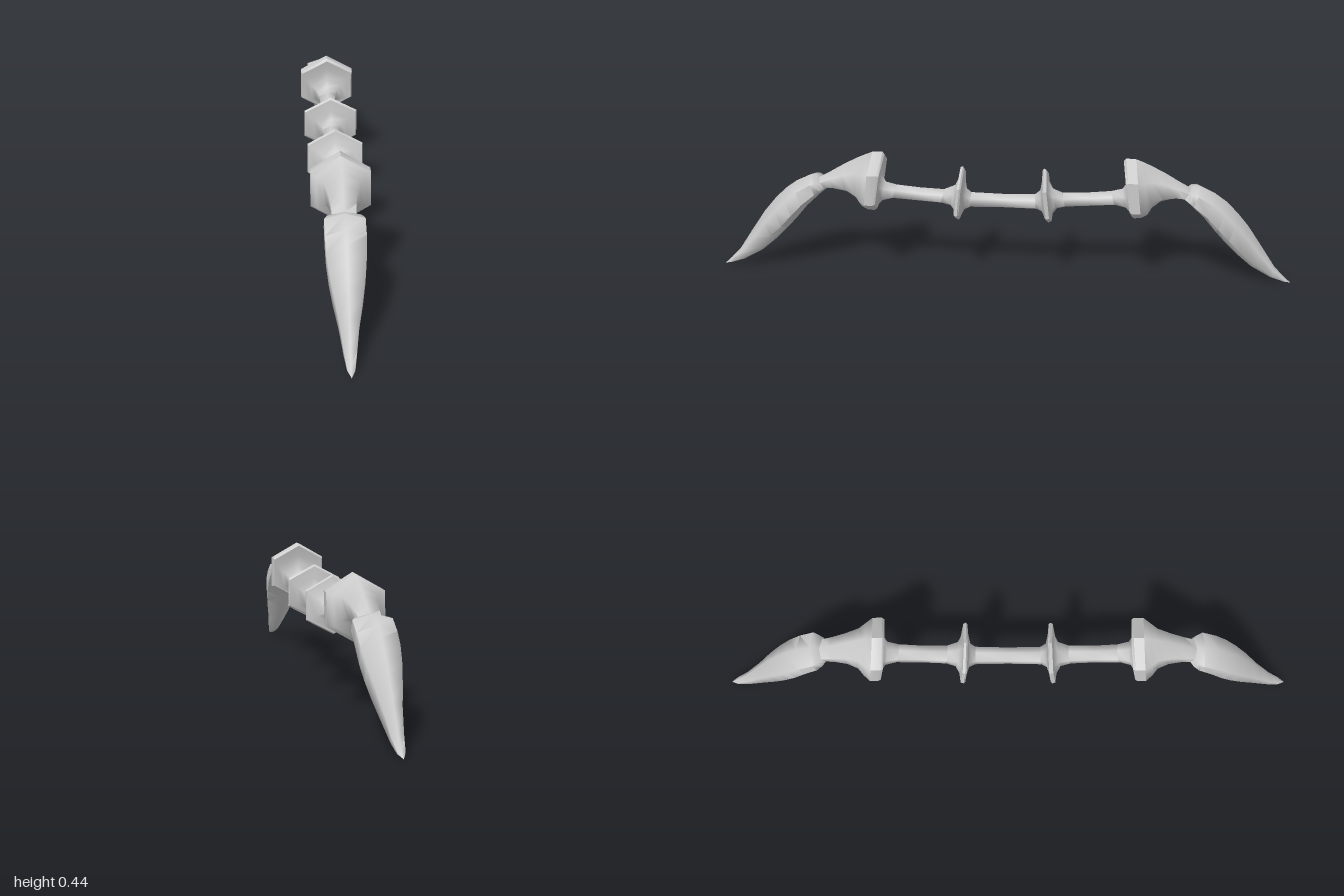
import * as THREE from 'three';
import { toCreasedNormals } from 'three/addons/utils/BufferGeometryUtils.js';

// Each section: [top z, top y, bottom z, bottom y, half width], from the grip outwards.
const GRIP_END = [0.11, 0.305, 0.115, 0.25, 0.027];
const ROD_START = [0.205, 0.313, 0.215, 0.262, 0.028];
const ROD_END = [0.37, 0.325, 0.385, 0.274, 0.028];
const NECK_END = [0.638, 0.345, 0.61, 0.308, 0.037];

const INNER_RIM = [
  [0.134, 0.392, 0.15, 0.208, 0.088],
  [0.139, 0.4, 0.156, 0.2, 0.092],
  [0.147, 0.395, 0.167, 0.205, 0.089],
];
const OUTER_RIM = [
  [0.408, 0.435, 0.44, 0.235, 0.09],
  [0.415, 0.445, 0.45, 0.226, 0.094],
  [0.45, 0.443, 0.475, 0.228, 0.094],
];

const PARTS = {
  innerGuardInside: [
    GRIP_END,
    [0.127, 0.32, 0.135, 0.24, 0.036],
    [0.132, 0.35, 0.145, 0.222, 0.06],
    INNER_RIM[0],
  ],
  innerGuardRim: INNER_RIM,
  innerGuardOutside: [
    INNER_RIM[2],
    [0.151, 0.36, 0.171, 0.235, 0.06],
    [0.166, 0.33, 0.184, 0.254, 0.037],
    ROD_START,
  ],
  rod: [ROD_START, [0.29, 0.317, 0.3, 0.268, 0.026], ROD_END],
  outerGuardInside: [
    ROD_END,
    [0.408, 0.335, 0.422, 0.264, 0.036],
    [0.423, 0.36, 0.434, 0.25, 0.055],
    [0.418, 0.4, 0.438, 0.241, 0.078],
    OUTER_RIM[0],
  ],
  outerGuardRim: OUTER_RIM,
  neck: [
    OUTER_RIM[2],
    [0.475, 0.433, 0.495, 0.24, 0.076],
    [0.5, 0.422, 0.51, 0.268, 0.058],
    [0.55, 0.396, 0.54, 0.293, 0.046],
    [0.6, 0.366, 0.585, 0.305, 0.039],
    NECK_END,
  ],
  claw: [
    NECK_END,
    [0.65, 0.352, 0.622, 0.298, 0.052],
    [0.668, 0.354, 0.64, 0.283, 0.062],
    [0.72, 0.329, 0.688, 0.237, 0.062],
    [0.76, 0.3, 0.727, 0.19, 0.06],
    [0.8, 0.26, 0.765, 0.148, 0.054],
    [0.84, 0.212, 0.81, 0.103, 0.044],
    [0.89, 0.138, 0.86, 0.06, 0.03],
    [0.94, 0.062, 0.93, 0.02, 0.019],
    [0.975, 0.025, 0.975, 0.006, 0.012],
    [1, 0.002, 1, 0.002, 0],
  ],
};

// Hexagon corners, counterclockwise from the top: [side, fraction from top to bottom]
const HEXAGON = [[0, 0], [-1, 0.25], [-1, 0.75], [0, 1], [1, 0.75], [1, 0.25]];

// Skins a row of hexagonal sections, ordered by rising z
function loft(sections, crease) {
  const points = [];
  const index = [];
  const n = HEXAGON.length;
  sections.forEach(([zt, yt, zb, yb, w], i) => {
    for (const [side, t] of HEXAGON) {
      points.push(side * w, THREE.MathUtils.lerp(yt, yb, t), THREE.MathUtils.lerp(zt, zb, t));
    }
    if (i === 0) return;
    for (let k = 0; k < n; k++) {
      const a = (i - 1) * n + k;
      const b = (i - 1) * n + ((k + 1) % n);
      index.push(a, b, b + n, a, b + n, a + n);
    }
  });
  const geometry = new THREE.BufferGeometry();
  geometry.setAttribute('position', new THREE.Float32BufferAttribute(points, 3));
  geometry.setIndex(index);
  return toCreasedNormals(geometry, crease);
}

// Sections of the opposite end
const mirror = (sections) =>
  sections.map(([zt, yt, zb, yb, w]) => [-zt, yt, -zb, yb, w]).reverse();

export function createModel() {
  const group = new THREE.Group();
  const material = new THREE.MeshStandardMaterial({ color: 0xcccccc });
  const add = (name, sections, crease) => {
    const mesh = new THREE.Mesh(loft(sections, crease), material);
    mesh.name = name;
    group.add(mesh);
  };

  // Central grip
  const middle = [0, 0.302, 0, 0.252, 0.025];
  add('grip', [...mirror([GRIP_END]), middle, GRIP_END], 1.2);

  // Guards, rods, necks and claws on both arms
  for (const [name, sections] of Object.entries(PARTS)) {
    const crease = name.endsWith('Rim') ? 0.8 : 1.2;
    add(`${name}Front`, sections, crease);
    add(`${name}Back`, mirror(sections), crease);
  }
  return group;
}
